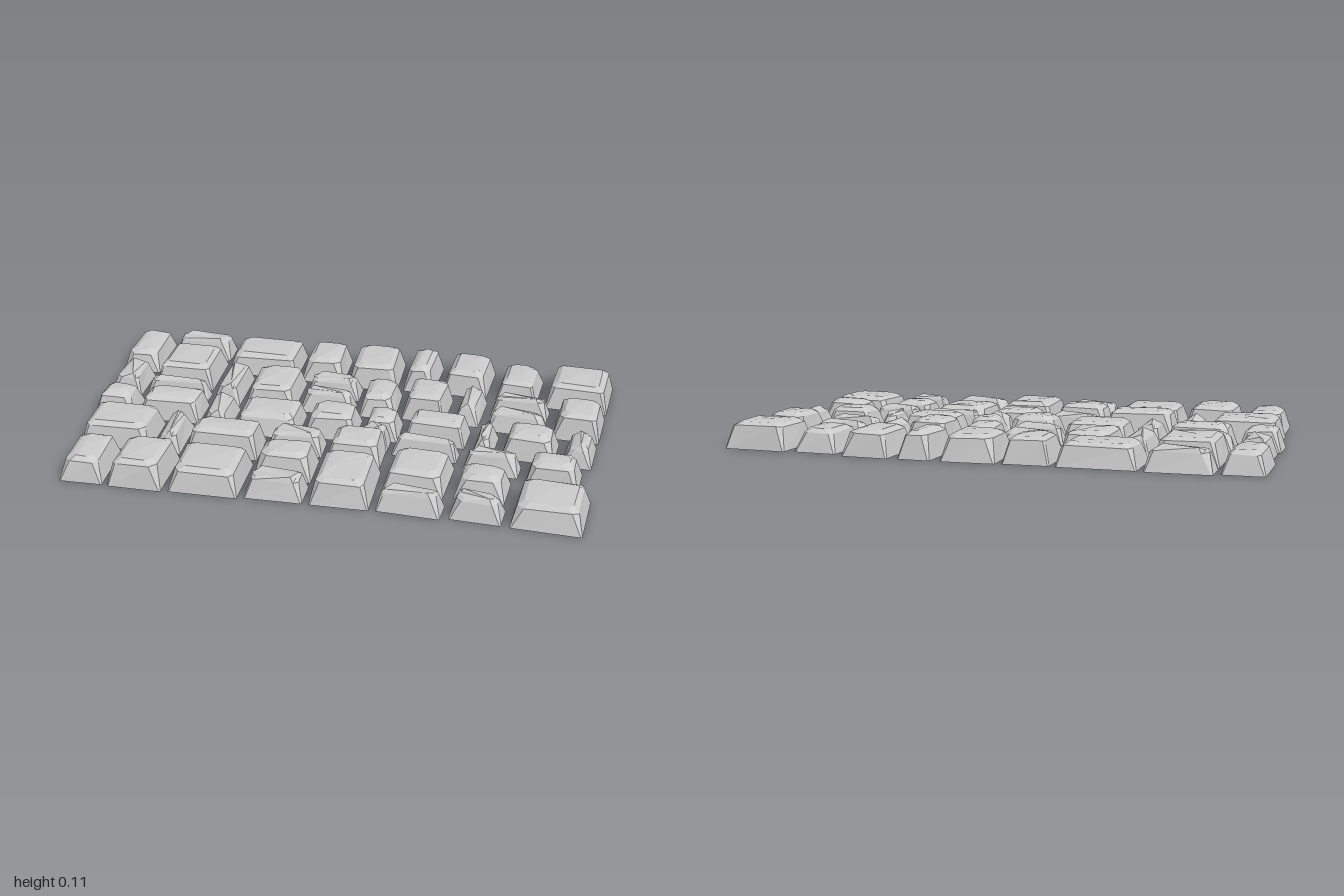
import * as THREE from 'three';

const GAP = 0.01;

// Joints between courses, back to front: z at every 0.25 along x from -0.9
const joints = [
  [-0.6, -0.62, -0.61, -0.6, -0.61, -0.61, -0.57, -0.57],
  [-0.315, -0.2, -0.365, -0.355, -0.335, -0.34, -0.315, -0.295],
  [-0.1, -0.105, -0.095, -0.095, -0.1, -0.1, -0.065, -0.055],
  [0.075, 0.08, 0.13, 0.105, 0.08, 0.08, 0.135, 0.145],
  [0.325, 0.325, 0.315, 0.245, 0.285, 0.19, 0.26, 0.33],
  [0.59, 0.595, 0.59, 0.58, 0.58, 0.59, 0.59, 0.61],
];
const jointAt = (row, x) => joints[row][Math.round((x + 0.9) / 0.25)];

// Upright joints of each course; splits cut a column into two stones at z
const courses = [
  { edges: [-1.01, -0.835, -0.575, -0.265, -0.07, 0.155, 0.315, 0.53, 0.73, 1.01], splits: { 1: -0.475 } },
  { edges: [-0.99, -0.845, -0.57, -0.435, -0.215, 0.02, 0.185, 0.39, 0.525, 0.775, 0.99], splits: { 4: -0.22, 8: -0.19 } },
  { edges: [-1, -0.82, -0.555, -0.425, -0.155, 0.065, 0.225, 0.49, 0.6, 0.83, 0.97], splits: {} },
  { edges: [-0.97, -0.68, -0.56, -0.265, -0.035, 0.195, 0.47, 0.705, 0.93], splits: {} },
  { edges: [-0.96, -0.775, -0.55, -0.27, -0.035, 0.205, 0.465, 0.68, 0.97], splits: { 3: 0.435, 5: 0.455, 6: 0.45 } },
];

let seed = 7;
const jitter = (amount) => {
  seed = (seed * 16807) % 2147483647;
  return (seed / 2147483647 * 2 - 1) * amount;
};

// Rectangle with cut corners, wound so that the top faces up
function ring(w, d, inset, cuts, y, wobble) {
  const a = w / 2 - inset, b = d / 2 - inset;
  const [p, q, r, s] = cuts;
  return [
    [a - p, b], [a, b - p], [a, -b + q], [a - q, -b],
    [-a + r, -b], [-a, -b + r], [-a, b - s], [-a + s, b],
  ].map(([x, z]) => [x + jitter(wobble), y + jitter(wobble), z + jitter(wobble)]);
}

// Tapered block with a worn shoulder and a faceted or ridged top
function stoneGeometry(w, d, h, slim) {
  const cuts = [0, 1, 2, 3].map(() => 0.016 + jitter(0.009));
  const base = ring(w, d, 0, cuts.map(() => 0.005), 0, 0);
  const shoulder = ring(w, d, 0.02, cuts, h - 0.018, 0.003);
  const top = ring(w, d, slim ? 0.03 : 0.04, cuts, h - 0.004, 0.002);
  if (slim) {
    // Fold the top along one diagonal
    top.forEach((v) => { v[1] -= 0.006; });
    top[0][1] = top[4][1] = h;
  }
  const points = [...base, ...shoulder, ...top, [jitter(w * 0.15), h, jitter(d * 0.15)]];
  const index = [];
  for (let i = 0; i < 8; i++) {
    const j = (i + 1) % 8;
    for (const k of [0, 8]) index.push(k + i, k + j, k + 8 + j, k + i, k + 8 + j, k + 8 + i);
    if (!slim) index.push(24, 16 + i, 16 + j);
  }
  for (let i = 1; i < 7; i++) {
    index.push(0, i + 1, i);
    if (slim) index.push(16, 16 + i, 17 + i);
  }
  const indexed = new THREE.BufferGeometry();
  indexed.setAttribute('position', new THREE.Float32BufferAttribute(points.flat(), 3));
  indexed.setIndex(index);
  const geometry = indexed.toNonIndexed();
  geometry.computeVertexNormals();
  return geometry;
}

const material = new THREE.MeshStandardMaterial({ color: 0xcccccc, flatShading: true });

// One stone filling the space between four joints
function makeStone(x0, x1, z0, z1) {
  const w = x1 - x0 - 2 * GAP, d = z1 - z0 - 2 * GAP;
  const slim = Math.min(w, d) < 0.13;
  const h = slim ? 0.086 + jitter(0.003) : 0.097 + jitter(0.01);
  // Stones turn slightly towards the right-hand end of the paving
  const skewed = x0 > 0.15;
  const turn = skewed ? 0.065 : 0.012;
  const stone = new THREE.Mesh(stoneGeometry(w - d * turn, d - w * turn, h, slim), material);
  stone.name = 'stone';
  stone.position.set((x0 + x1) / 2, 0, (z0 + z1) / 2);
  stone.rotation.y = skewed ? -turn : jitter(turn);
  return stone;
}

export function createModel() {
  const model = new THREE.Group();
  model.name = 'stonePaving';

  courses.forEach(({ edges, splits }, row) => {
    const course = new THREE.Group();
    course.name = `course${row + 1}`;
    for (let i = 0; i < edges.length - 1; i++) {
      const x0 = edges[i], x1 = edges[i + 1], middle = (x0 + x1) / 2;
      const back = jointAt(row, middle), front = jointAt(row + 1, middle);
      if (i in splits) {
        course.add(makeStone(x0, x1, back, splits[i]), makeStone(x0, x1, splits[i], front));
      } else {
        course.add(makeStone(x0, x1, back, front));
      }
    }
    model.add(course);
  });

  // Small stone wedged over the joint between two courses
  const wedge = makeStone(0.06, 0.2, 0.03, 0.15);
  wedge.name = 'wedgeStone';
  model.add(wedge);
  return model;
}
